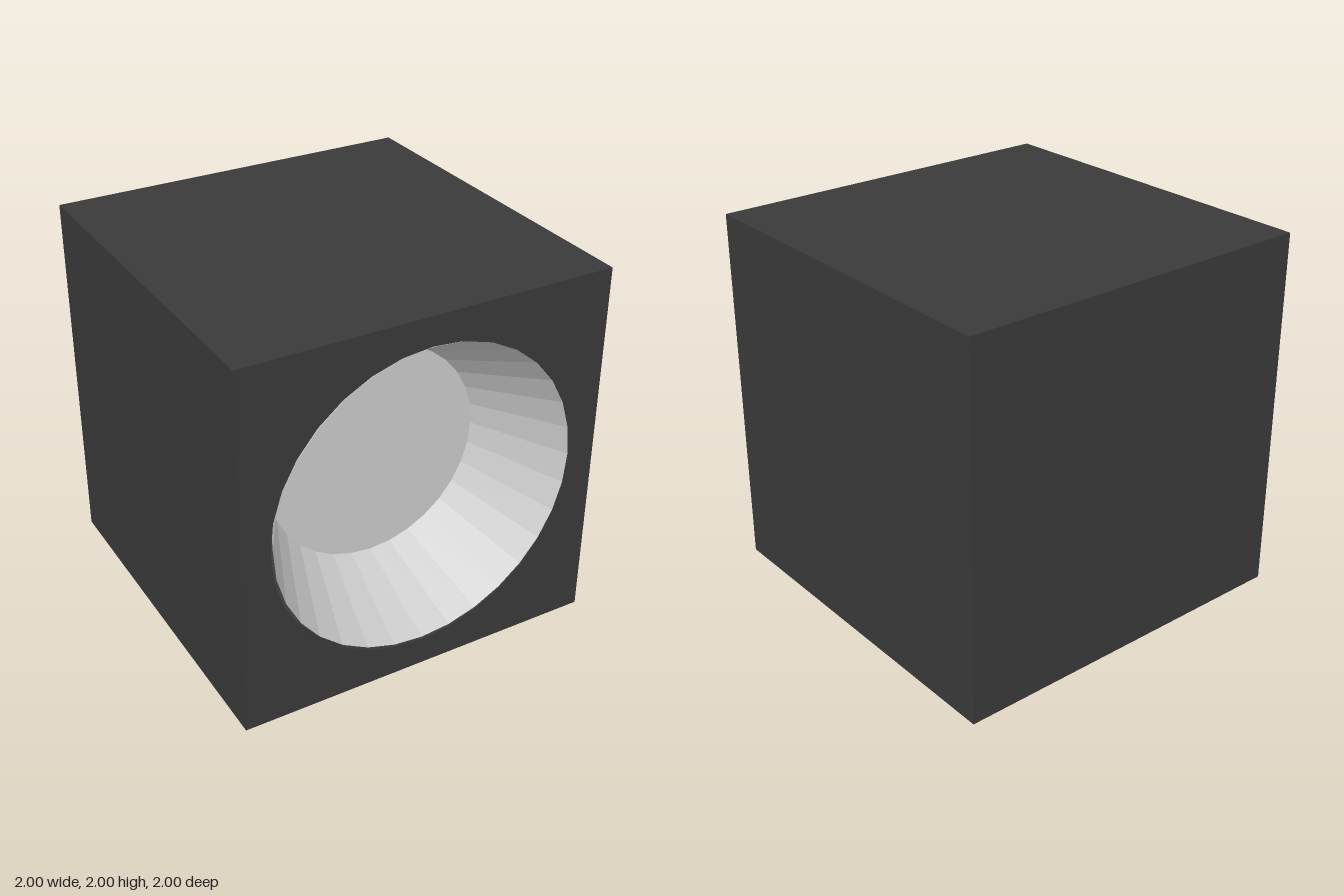
import * as THREE from 'three';

const SEGMENTS = 32;
const FRONT = 1, DEPTH = 0.5;
const MOUTH = 0.845, FLOOR = 0.595;

function add(group, name, geometry, material, z = 0) {
  const mesh = new THREE.Mesh(geometry, material);
  mesh.name = name;
  mesh.position.set(0, 1, z);
  group.add(mesh);
}

// Open tube whose axis runs along z, wide end to the front
function tube(frontRadius, backRadius, depth) {
  return new THREE.CylinderGeometry(frontRadius, backRadius, depth, SEGMENTS, 1, true).rotateX(Math.PI / 2);
}

export function createModel() {
  const group = new THREE.Group();
  group.name = 'recessedLamp';
  const material = (name, color) => new THREE.MeshStandardMaterial({
    name, color, flatShading: true, side: THREE.DoubleSide,
  });
  const charcoal = material('charcoal', 0x3a3a3a);
  const paleGrey = material('paleGrey', 0xcccccc);

  // Housing: a cube without its front face
  const housing = new THREE.BoxGeometry(2, 2, 2);
  const index = Array.from(housing.index.array);
  index.splice(24, 6);
  housing.setIndex(index);
  housing.clearGroups();
  add(group, 'housing', housing, charcoal);

  // Front panel with a round opening
  const panel = new THREE.Shape([[-1, -1], [1, -1], [1, 1], [-1, 1]].map(([x, y]) => new THREE.Vector2(x, y)));
  const opening = [];
  for (let i = 0; i < SEGMENTS; i++) {
    const a = -i / SEGMENTS * Math.PI * 2;
    opening.push(new THREE.Vector2(MOUTH * Math.cos(a), MOUTH * Math.sin(a)));
  }
  panel.holes.push(new THREE.Path(opening));
  add(group, 'frontPanel', new THREE.ShapeGeometry(panel), charcoal, FRONT);

  // Dark lip just inside the opening
  add(group, 'openingLip', tube(MOUTH, MOUTH, 0.04), charcoal, FRONT - 0.02);

  // Reflector cone, its mouth set slightly up and to one side
  const cone = tube(0.837, FLOOR, DEPTH);
  const p = cone.attributes.position;
  for (let i = 0; i < p.count; i++) {
    if (p.getZ(i) > 0) p.setXY(i, p.getX(i) + 0.004, p.getY(i) + 0.006);
  }
  add(group, 'reflector', cone, paleGrey, FRONT - DEPTH / 2);

  // Flat disc closing the recess
  add(group, 'recessFloor', new THREE.CircleGeometry(FLOOR, SEGMENTS), paleGrey, FRONT - DEPTH);

  return group;
}
